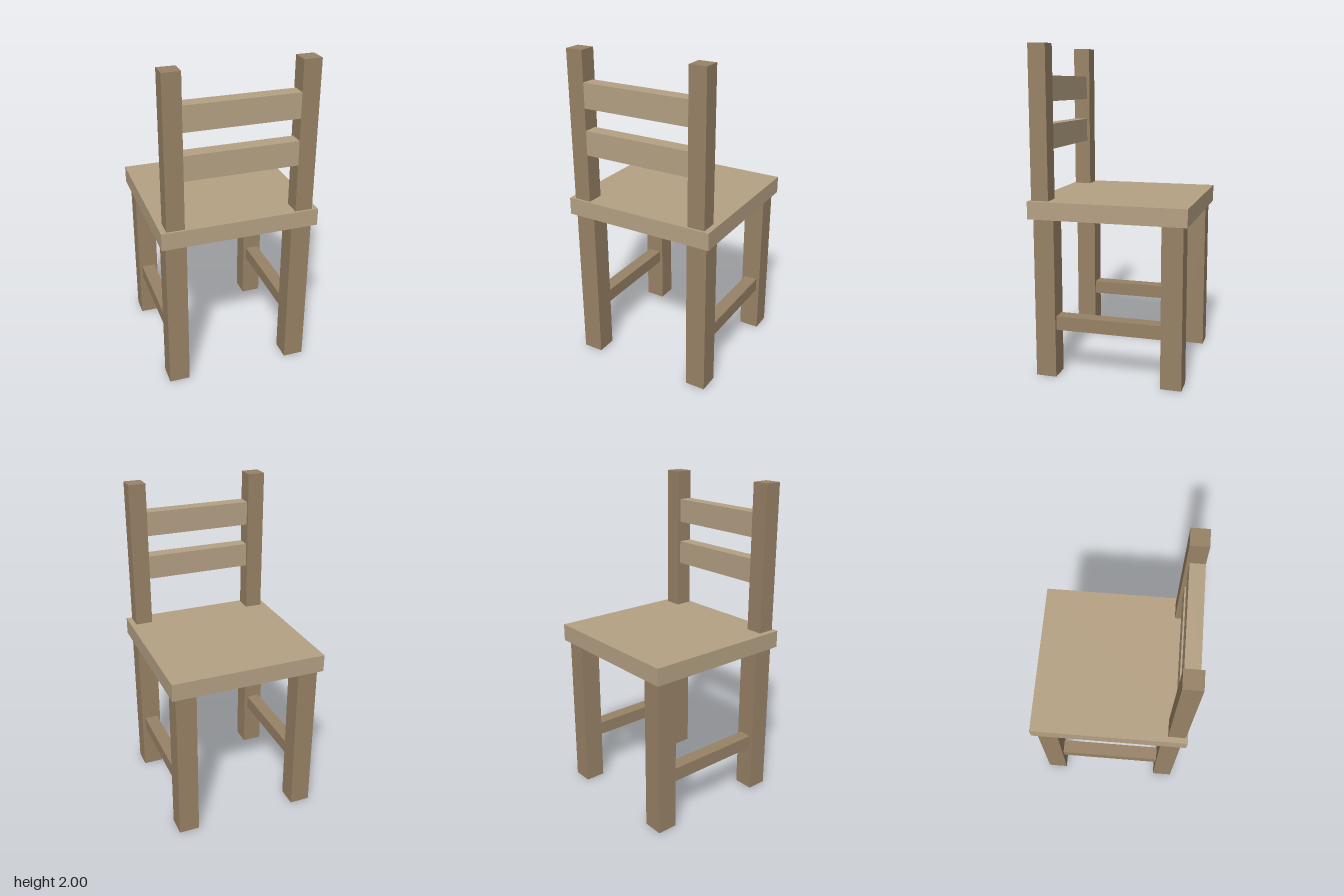
import * as THREE from 'three';

export function createModel() {
  const group = new THREE.Group();
  const lightWood = new THREE.MeshStandardMaterial({ color: 0xb5a184 });
  const darkWood = new THREE.MeshStandardMaterial({ color: 0x988266 });

  // Adds a named box from its size and centre
  const box = (name, [w, h, d], [x, y, z], material) => {
    const mesh = new THREE.Mesh(new THREE.BoxGeometry(w, h, d), material);
    mesh.name = name;
    mesh.position.set(x, y, z);
    group.add(mesh);
  };

  // Square seat board
  box('seat', [0.96, 0.107, 0.96], [0, 1.035, 0], lightWood);

  for (const [side, sx] of [['left', 1], ['right', -1]]) {
    // Legs at the four corners
    for (const [end, sz] of [['Front', 1], ['Back', -1]]) {
      box(`${side}${end}Leg`, [0.127, 0.982, 0.127], [sx * 0.389, 0.491, sz * 0.389], darkWood);
    }
    // Low stretcher joining the legs on each side
    box(`${side}Stretcher`, [0.085, 0.085, 0.651], [sx * 0.389, 0.338, 0], darkWood);
    // Upright of the backrest
    box(`${side}BackPost`, [0.107, 0.912, 0.107], [sx * 0.392, 1.544, 0.413], darkWood);
  }

  // Two slats between the uprights, flush with their outer face
  box('lowerSlat', [0.678, 0.15, 0.088], [0, 1.46, 0.4225], lightWood);
  box('upperSlat', [0.678, 0.15, 0.088], [0, 1.743, 0.4225], lightWood);

  return group;
}
